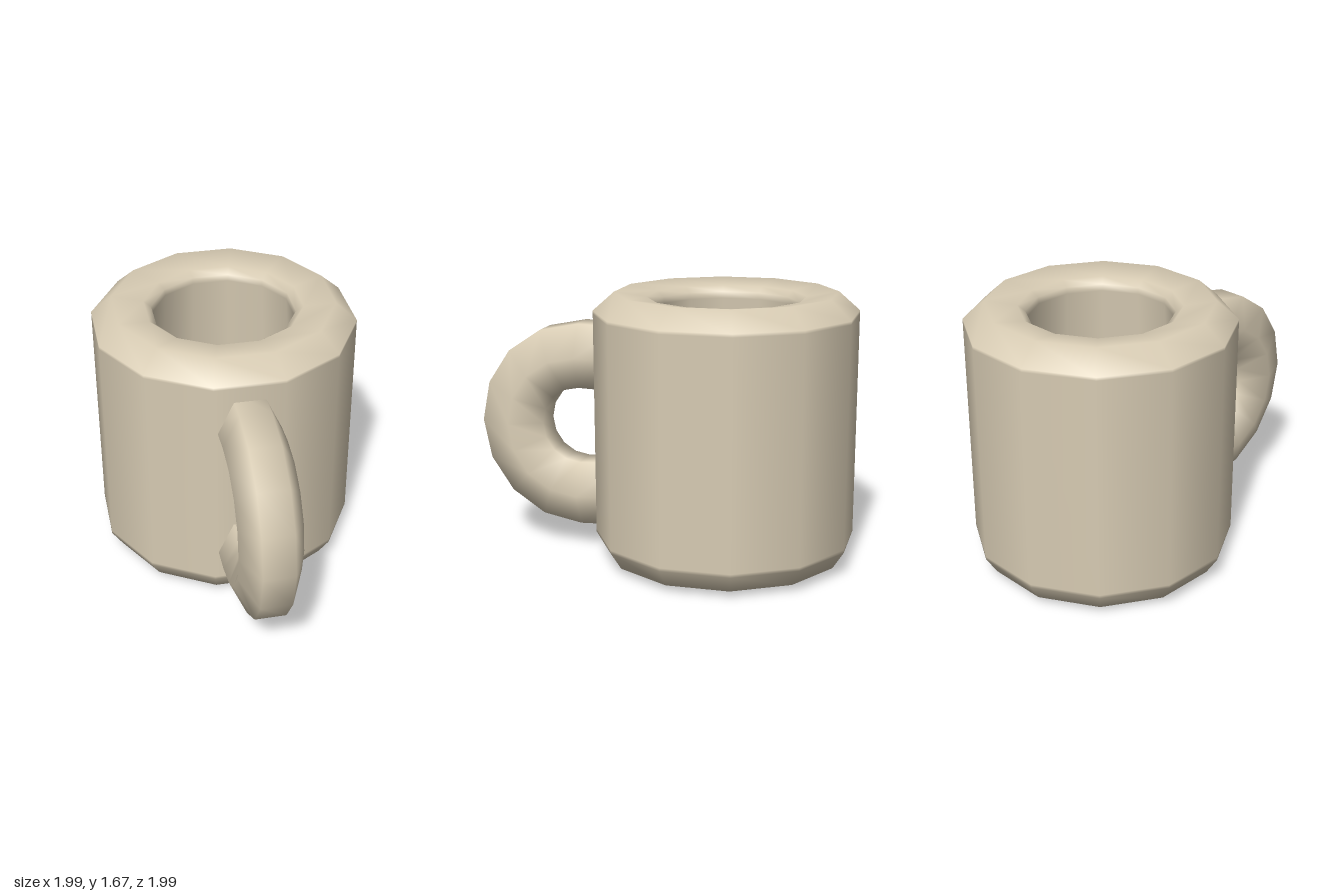
import * as THREE from 'three';

const clay = new THREE.MeshStandardMaterial({ color: 0xd8ccb4 });
clay.name = 'clay';

// Open-ended 12-sided cup wall with rounded lip and foot
function makeBody() {
  const profile = [
    [0.53, 0], [0.74, 0.04], [0.81, 0.15], [0.81, 0.17], [0.81, 1.54], [0.81, 1.56],
    [0.68, 1.675], [0.485, 1.645], [0.44, 1.61], [0.435, 1.57], [0.53, 0],
  ].map(([r, y]) => new THREE.Vector2(r, y));
  const body = new THREE.Mesh(new THREE.LatheGeometry(profile, 12), clay);
  body.position.set(-0.19, 0, -0.19);
  body.name = 'cupBody';
  return body;
}

// Hexagonal tube swept along a half circle, with ends buried in the wall
function makeHandle() {
  const sides = 6, major = 0.445, halfThick = 0.203, halfWidth = 0.187;
  const stations = [];
  stations.push({ x: -0.275, y: -major + 0.01, a: -Math.PI / 2 });
  for (let i = -4; i <= 4; i++) {
    const a = (i * Math.PI) / 8;
    stations.push({ x: major * Math.cos(a), y: major * Math.sin(a), a });
  }
  stations.push({ x: -0.275, y: major - 0.01, a: Math.PI / 2 });

  const positions = [], indices = [];
  for (const s of stations) {
    for (let j = 0; j < sides; j++) {
      const t = (j * Math.PI * 2) / sides;
      const radial = (Math.sin(t) / Math.sin(Math.PI / 3)) * halfThick;
      positions.push(
        s.x + Math.cos(s.a) * radial,
        s.y + Math.sin(s.a) * radial,
        Math.cos(t) * halfWidth
      );
    }
  }
  for (let i = 0; i < stations.length - 1; i++) {
    for (let j = 0; j < sides; j++) {
      const k = (j + 1) % sides;
      const a = i * sides + j, b = i * sides + k;
      const c = a + sides, d = b + sides;
      indices.push(a, b, c, b, d, c);
    }
  }
  const geometry = new THREE.BufferGeometry();
  geometry.setAttribute('position', new THREE.Float32BufferAttribute(positions, 3));
  geometry.setIndex(indices);
  geometry.computeVertexNormals();

  // Points outward along the +x +z diagonal
  const handle = new THREE.Mesh(geometry, clay);
  const reach = 0.657 * Math.SQRT1_2;
  handle.position.set(reach, 0.805, reach);
  handle.rotation.y = -Math.PI / 4;
  handle.name = 'handle';
  return handle;
}

export function createModel() {
  const mug = new THREE.Group();
  mug.name = 'mug';
  mug.add(makeBody(), makeHandle());
  return mug;
}
